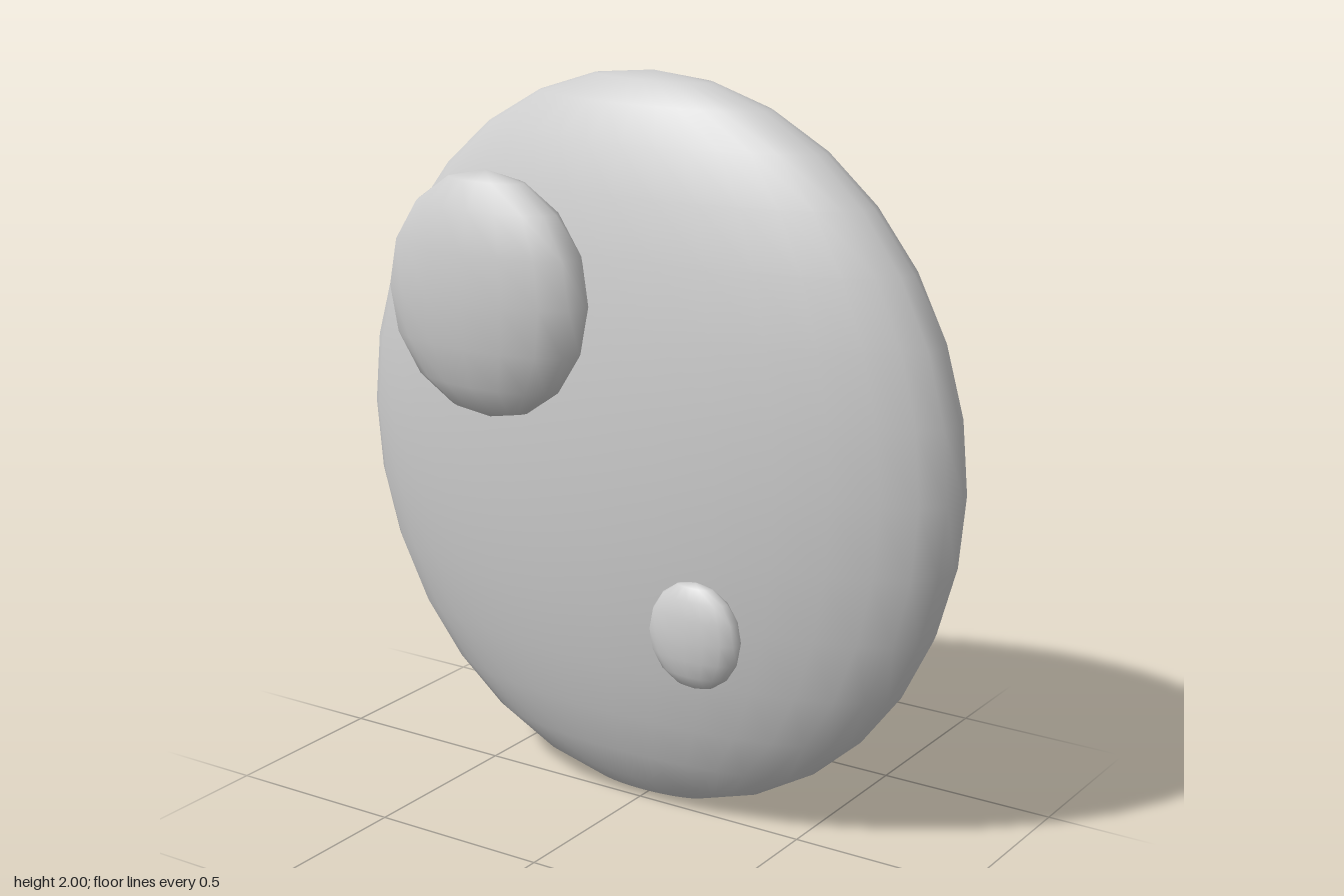
import * as THREE from 'three';

export function createModel() {
  const group = new THREE.Group();
  const grey = new THREE.MeshStandardMaterial({ color: 0xcccccc });
  grey.name = 'plain grey';

  // Smooth ellipsoid with its poles on the y axis
  function ellipsoid(name, segments, radii, position) {
    const geometry = new THREE.SphereGeometry(1, segments, segments / 2);
    geometry.scale(...radii);
    const mesh = new THREE.Mesh(geometry, grey);
    mesh.name = name;
    mesh.position.set(...position);
    group.add(mesh);
  }

  // Flattened disc with two raised lumps on its front
  ellipsoid('body', 32, [0.923, 1, 0.275], [0, 1, -0.06]);
  ellipsoid('largeLump', 16, [0.314, 0.33, 0.12], [-0.334, 1.42, 0.215]);
  ellipsoid('smallLump', 16, [0.137, 0.145, 0.051], [0.312, 0.607, 0.216]);

  return group;
}
